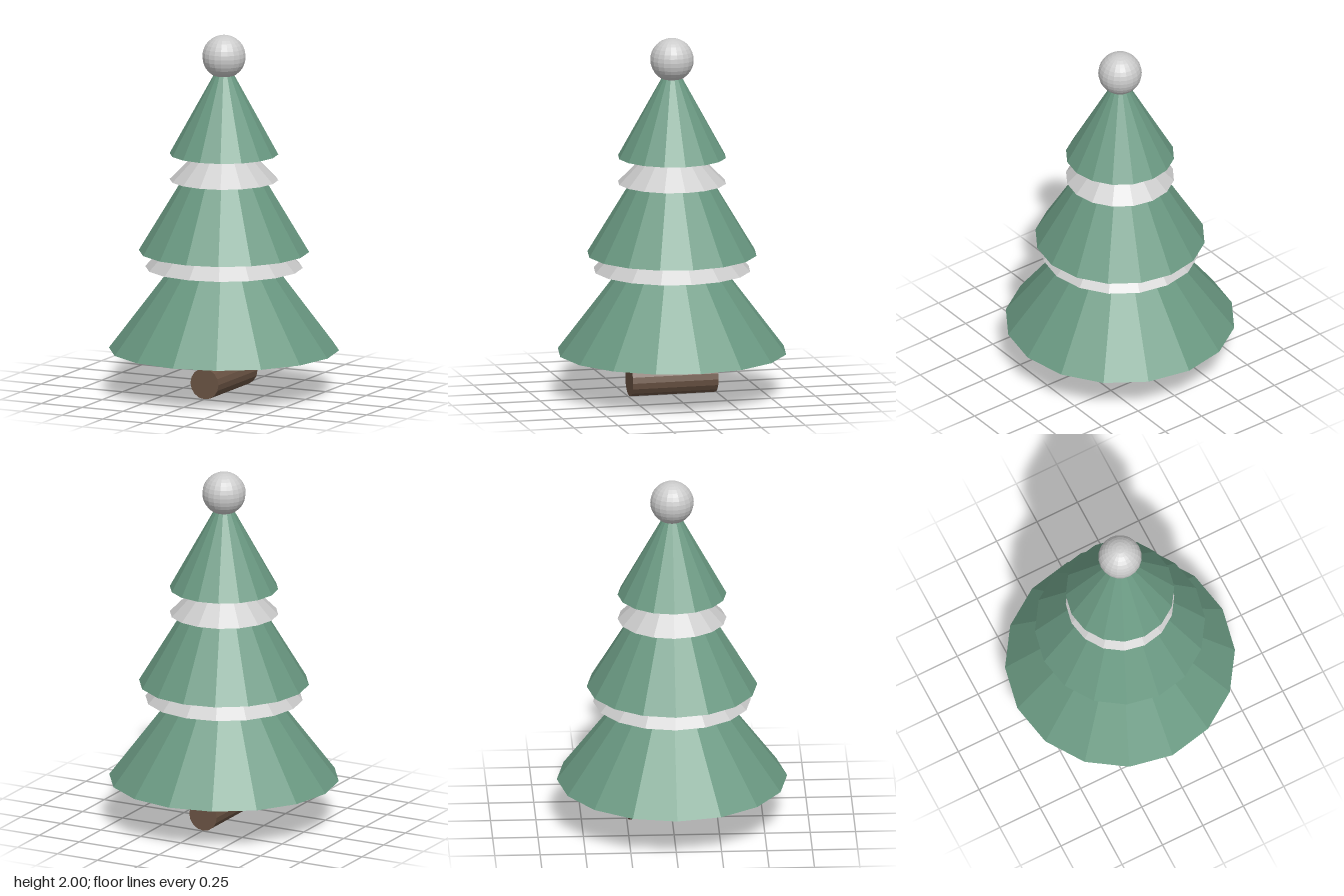
import * as THREE from 'three';

export function createModel() {
  const group = new THREE.Group();
  const flat = (color) => new THREE.MeshStandardMaterial({ color, flatShading: true });
  const green = flat(0x6a9982);
  const white = flat(0xcccccc);
  const brown = flat(0x6b5444);

  const add = (name, geometry, material, y) => {
    const mesh = new THREE.Mesh(geometry, material);
    mesh.name = name;
    mesh.position.y = y;
    group.add(mesh);
    return mesh;
  };

  // Nested 16-sided cones: name, base radius, base height, apex height
  const cones = [
    ['lowerBranches', 0.635, 0.24, 1.08, green],
    ['lowerSnow', 0.435, 0.7, 1.16, white],
    ['middleBranches', 0.47, 0.79, 1.57, green],
    ['upperSnow', 0.3, 1.19, 1.49, white],
    ['upperBranches', 0.3, 1.335, 1.88, green],
  ];
  for (const [name, radius, base, apex, material] of cones) {
    add(name, new THREE.ConeGeometry(radius, apex - base, 16), material, (base + apex) / 2);
  }

  // Ball on the tip
  add('topBall', new THREE.SphereGeometry(0.12, 20, 16), white, 1.88);

  // Log lying front to back, below the lowest branches
  const log = add('trunkLog', new THREE.CylinderGeometry(0.086, 0.086, 0.485, 16), brown, 0.086);
  log.rotation.x = Math.PI / 2;

  return group;
}
